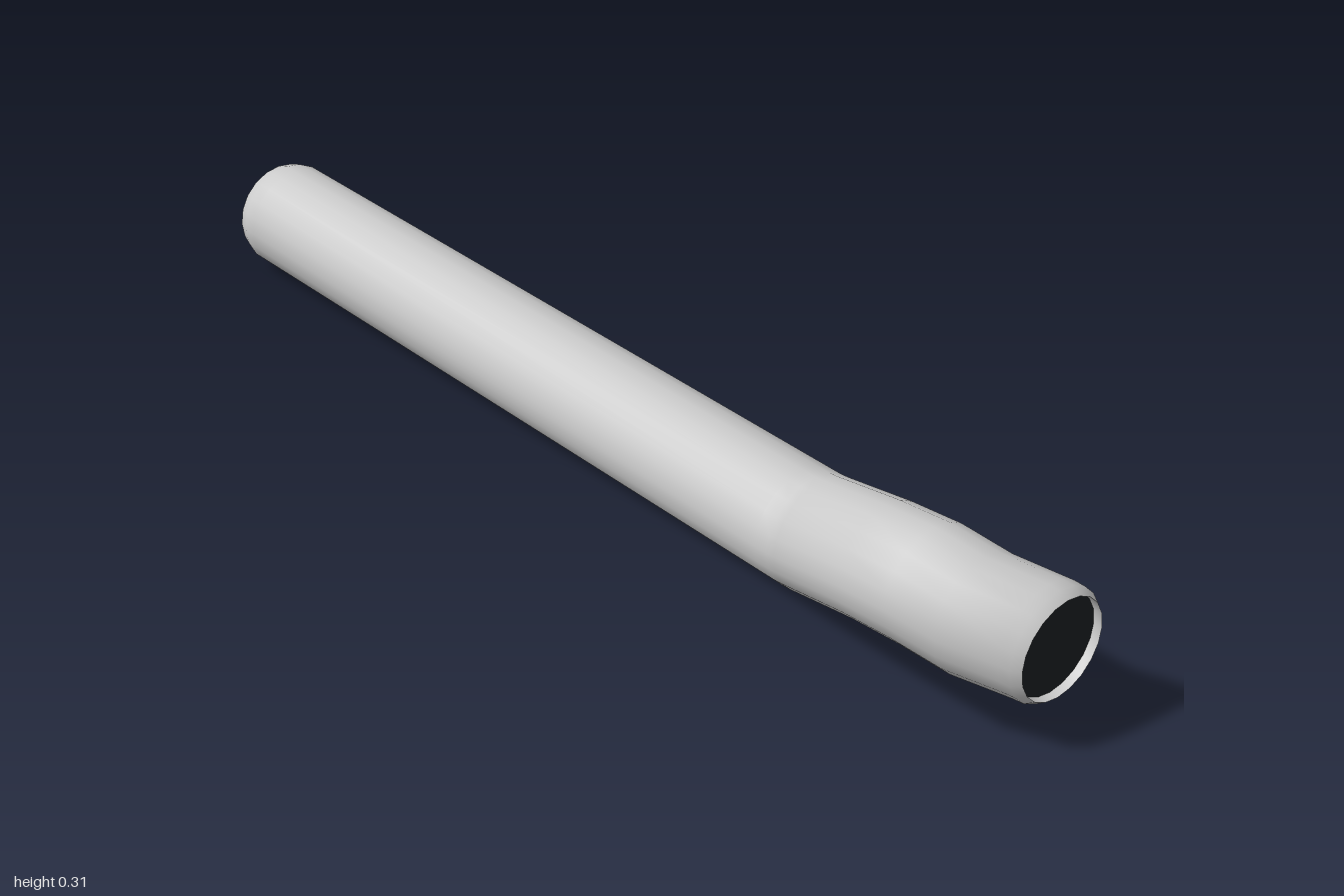
import * as THREE from 'three';

const SIDES = 20;

// Skin a run of upright circular rings, each [x, y, z, radius]
function loft(rings) {
  const pos = [], index = [];
  rings.forEach(([x, y, z, r], i) => {
    for (let j = 0; j < SIDES; j++) {
      const a = (j / SIDES) * Math.PI * 2;
      pos.push(x + r * Math.cos(a), y + r * Math.sin(a), z);
      if (i === rings.length - 1) continue;
      const k = (j + 1) % SIDES, p = i * SIDES, q = p + SIDES;
      index.push(p + j, p + k, q + k, p + j, q + k, q + j);
    }
  });
  const geo = new THREE.BufferGeometry();
  geo.setAttribute('position', new THREE.Float32BufferAttribute(pos, 3));
  geo.setIndex(index);
  geo.computeVertexNormals();
  return geo;
}

export function createModel() {
  const group = new THREE.Group();
  const grey = new THREE.MeshStandardMaterial({ color: 0xcccccc });
  const dark = new THREE.MeshStandardMaterial({ color: 0x1c2022 });
  const add = (name, geo, mat) => {
    const mesh = new THREE.Mesh(geo, mat);
    mesh.name = name;
    group.add(mesh);
    return mesh;
  };

  // Straight run, then an offset bend rising to the side and curling back
  add('pipeWall', loft([
    [0.045, 0.1, -1, 0.083],
    [0.045, 0.1, -0.99, 0.092],
    [0.045, 0.1, -0.965, 0.1],
    [0.045, 0.1, -0.94, 0.1],
    [0.045, 0.1, 0.44, 0.1],
    [0.044, 0.101, 0.468, 0.1],
    [0.038, 0.108, 0.49, 0.1],
    [-0.033, 0.194, 0.69, 0.099],
    [-0.046, 0.215, 0.8, 0.1],
    [-0.034, 0.204, 0.89, 0.099],
    [0.014, 0.18, 0.97, 0.097],
    [0.02, 0.176, 0.986, 0.096],
    [0.022, 0.175, 1, 0.086],
  ]), grey);

  // Recessed bore at each mouth, closed by a dark disc
  add('backBore', loft([[0.045, 0.1, -0.91, 0.082], [0.045, 0.1, -1, 0.083]]), grey);
  add('frontBore', loft([[0.022, 0.175, 1, 0.086], [0.022, 0.175, 0.985, 0.085]]), grey);

  const backDisc = add('backInterior', new THREE.CircleGeometry(0.082, SIDES), dark);
  backDisc.position.set(0.045, 0.1, -0.91);
  backDisc.rotation.y = Math.PI;
  const frontDisc = add('frontInterior', new THREE.CircleGeometry(0.085, SIDES), dark);
  frontDisc.position.set(0.022, 0.175, 0.985);

  return group;
}
